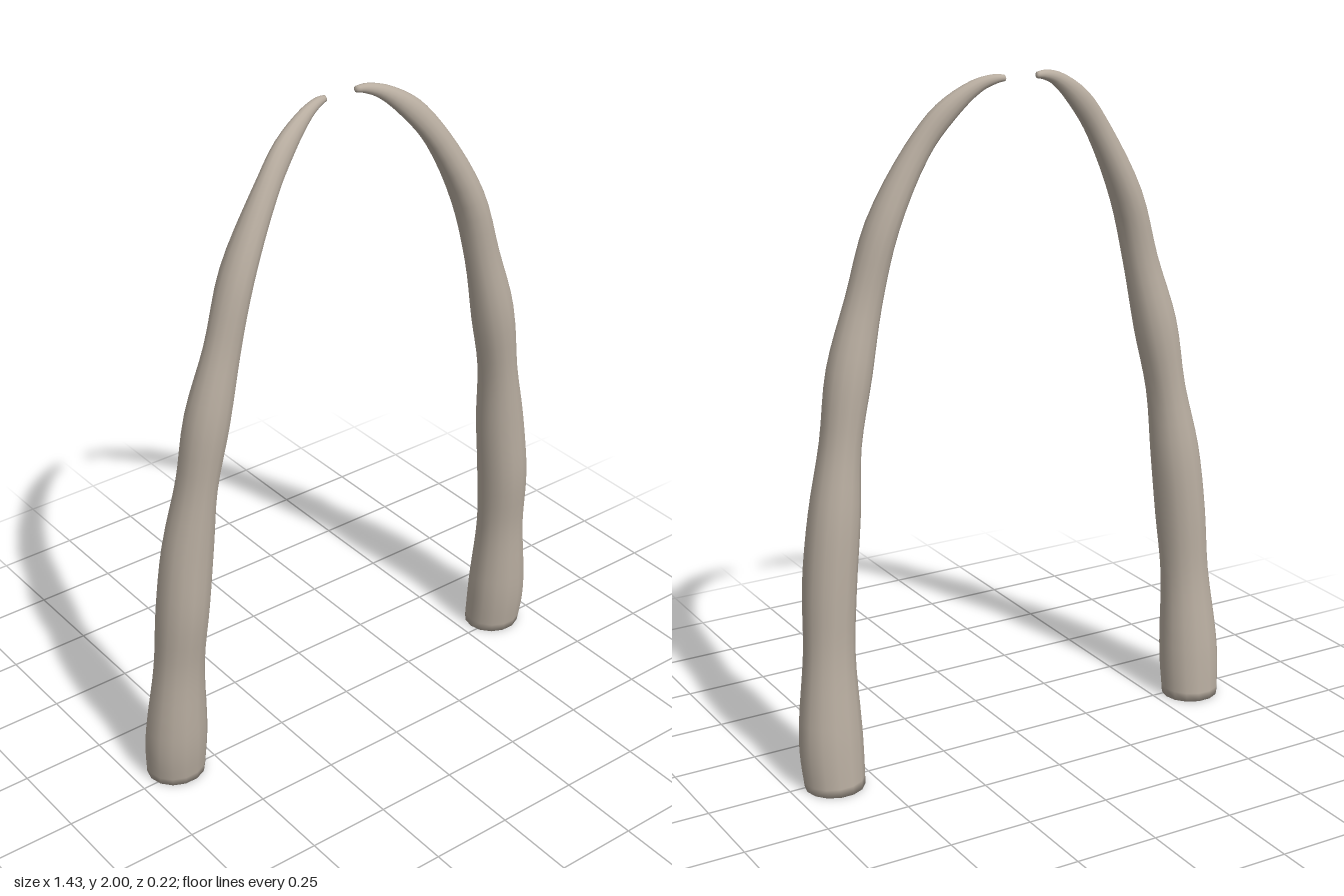
import * as THREE from 'three';

// Stations from base to tip: centre x, y, z, then half-width across the bend and half-depth
const STATIONS = [
  [0.62, 0.0, -0.026, 0.088, 0.084],
  [0.622, 0.1, -0.015, 0.093, 0.087],
  [0.62, 0.2, -0.007, 0.09, 0.084],
  [0.611, 0.4, 0.006, 0.075, 0.072],
  [0.598, 0.6, 0.019, 0.077, 0.079],
  [0.575, 0.8, 0.024, 0.074, 0.074],
  [0.545, 1.0, 0.036, 0.059, 0.063],
  [0.508, 1.2, 0.045, 0.065, 0.065],
  [0.455, 1.4, 0.05, 0.053, 0.05],
  [0.397, 1.6, 0.045, 0.047, 0.053],
  [0.293, 1.8, 0.032, 0.037, 0.035],
  [0.215, 1.9, 0.014, 0.034, 0.027],
  [0.13, 1.966, -0.006, 0.021, 0.019],
  [0.08, 1.984, -0.019, 0.014, 0.014],
  [0.052, 1.986, -0.025, 0.009, 0.009],
];
const SIDES = 14;
const RINGS = 56;

// Sweep elliptical sections along the bend; side is +1 or -1
function tuskGeometry(side) {
  const path = new THREE.CatmullRomCurve3(STATIONS.map(s => new THREE.Vector3(s[0], s[1], s[2])));
  const radii = new THREE.CatmullRomCurve3(STATIONS.map(s => new THREE.Vector3(s[3], s[4], 0)), false, 'catmullrom');
  const pos = [], idx = [];
  const face = (a, b, c) => (side > 0 ? idx.push(a, b, c) : idx.push(a, c, b));

  for (let i = 0; i <= RINGS; i++) {
    const t = i / RINGS;
    const c = path.getPoint(t), r = radii.getPoint(t), tan = path.getTangent(t);
    if (i === 0) tan.set(0, 1, 0); // flat base
    const n = new THREE.Vector2(tan.y, -tan.x).normalize();
    for (let j = 0; j < SIDES; j++) {
      const a = (j / SIDES) * Math.PI * 2;
      const u = Math.cos(a) * r.x;
      pos.push(side * (c.x + n.x * u), c.y + n.y * u, c.z + Math.sin(a) * r.y);
    }
  }
  for (let i = 0; i < RINGS; i++) {
    for (let j = 0; j < SIDES; j++) {
      const k = (j + 1) % SIDES;
      const a = i * SIDES + j, b = i * SIDES + k;
      face(a, a + SIDES, b);
      face(b, a + SIDES, b + SIDES);
    }
  }
  // Base cap and tip cap
  const base = pos.length / 3, tip = base + 1, last = RINGS * SIDES;
  pos.push(side * STATIONS[0][0], 0, STATIONS[0][2], side * 0.047, 1.985, -0.027);
  for (let j = 0; j < SIDES; j++) {
    const k = (j + 1) % SIDES;
    face(base, j, k);
    face(tip, last + k, last + j);
  }
  const g = new THREE.BufferGeometry();
  g.setAttribute('position', new THREE.Float32BufferAttribute(pos, 3));
  g.setIndex(idx);
  g.computeVertexNormals();
  return g;
}

export function createModel() {
  const group = new THREE.Group();
  group.name = 'tuskPair';
  const ivory = new THREE.MeshStandardMaterial({ color: 0xb8ada0 });
  ivory.name = 'agedIvory';
  for (const [name, side] of [['leftTusk', 1], ['rightTusk', -1]]) {
    const tusk = new THREE.Mesh(tuskGeometry(side), ivory);
    tusk.name = name;
    group.add(tusk);
  }
  return group;
}
